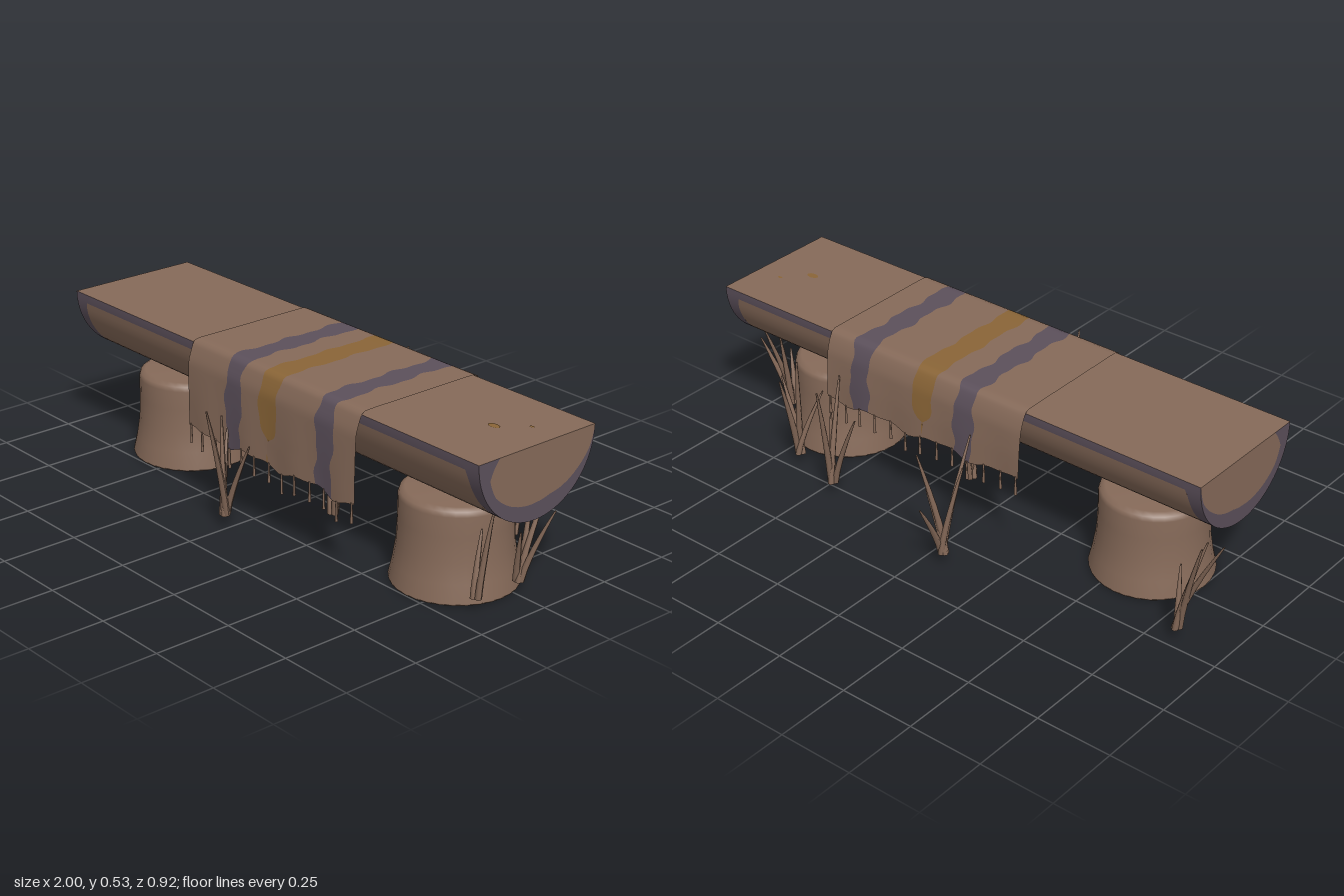
import * as THREE from 'three';

const X0 = -0.87, X1 = 1.0, TOP = 0.52, ZC = 0.053, R = 0.2275;

export function createModel() {
  const group = new THREE.Group();
  group.name = 'logBench';
  const mat = (name, color) => {
    const m = new THREE.MeshStandardMaterial({ color, side: THREE.DoubleSide });
    m.name = name;
    return m;
  };
  const wood = mat('brown', 0x866a59);
  const purple = mat('dusky purple', 0x5c505b);
  const ochre = mat('ochre', 0x8a6537);

  const add = (name, geo, material, parent = group) => {
    const mesh = new THREE.Mesh(geo, material);
    mesh.name = name;
    parent.add(mesh);
    return mesh;
  };
  const part = (name) => {
    const g = new THREE.Group();
    g.name = name;
    group.add(g);
    return g;
  };

  // Grid surface: fn(u, v) gives [x, y, z] for u, v in 0..1
  const surface = (nu, nv, fn) => {
    const pos = [], idx = [];
    for (let i = 0; i <= nu; i++) for (let j = 0; j <= nv; j++) pos.push(...fn(i / nu, j / nv));
    for (let i = 0; i < nu; i++) for (let j = 0; j < nv; j++) {
      const a = i * (nv + 1) + j, b = a + nv + 1;
      idx.push(a, b, a + 1, b, b + 1, a + 1);
    }
    const geo = new THREE.BufferGeometry();
    geo.setAttribute('position', new THREE.Float32BufferAttribute(pos, 3));
    geo.setIndex(idx);
    geo.computeVertexNormals();
    return geo;
  };
  const lerp = THREE.MathUtils.lerp;

  // Half log: rounded underside with worn purple borders
  const log = part('log');
  const arc = (x, t, r = R) => [x, TOP - r * Math.sin(t), ZC + r * Math.cos(t)];
  const rim = (t) => 0.022 + 0.022 * Math.abs(Math.cos(t)) + 0.04 * Math.exp(-Math.min(t, Math.PI - t) / 0.1);
  const EDGE = 0.13;
  const under = (name, m, t0, t1, xa, xb) => add(name, surface(32, 1, (u, v) => {
    const t = lerp(t0, t1, u);
    return arc(lerp(xa(t), xb(t), v), t);
  }), m, log);
  const inL = (t) => X0 + rim(t), inR = (t) => X1 - rim(t);
  under('logEndBandRight', purple, 0, Math.PI, () => X0, inL);
  under('logEndBandLeft', purple, 0, Math.PI, inR, () => X1);
  under('logFrontEdgeBand', purple, 0, EDGE, inL, inR);
  under('logBark', wood, EDGE, Math.PI - EDGE, inL, inR);
  under('logBackEdgeBand', purple, Math.PI - EDGE, Math.PI, inL, inR);
  add('logSeat', surface(1, 1, (u, v) => [lerp(X0, X1, v), TOP, ZC + lerp(-R, R, u)]), wood, log);

  // Log ends: uneven purple crescent around the cut wood
  const inner = [0.147, 0.192, 0.197, 0.189, 0.181, 0.175, 0.173, 0.186, 0.2, 0.218, R];
  const innerRadius = (t) => {
    const f = (t / Math.PI) * 10, i = Math.min(9, Math.floor(f));
    return lerp(inner[i], inner[i + 1], f - i);
  };
  for (const x of [X0, X1]) {
    const angle = (u) => Math.PI * (x > 0 ? u : 1 - u);
    add('logEndRim', surface(40, 1, (u, v) => arc(x, angle(u), lerp(R, innerRadius(angle(u)), v))), purple, log);
    add('logEndFace', surface(40, 1, (u, v) => arc(x, angle(u), innerRadius(angle(u)) * (1 - v))), wood, log);
  }

  // Small ochre flecks on the seat
  for (const [x, z, r] of [[0.83, 0.055, 0.022], [0.905, -0.02, 0.009]]) {
    const fleck = add('seatFleck', new THREE.CircleGeometry(r, 8), ochre, log);
    fleck.rotation.x = -Math.PI / 2;
    fleck.scale.y = 0.6;
    fleck.position.set(x, TOP + 0.002, z);
  }

  // Stump legs
  const stump = [[0, 0], [0.194, 0], [0.196, 0.006], [0.184, 0.06], [0.174, 0.125], [0.171, 0.2],
    [0.171, 0.265], [0.166, 0.28], [0.15, 0.289], [0, 0.292]].map((p) => new THREE.Vector2(...p));
  for (const [name, x] of [['rightStump', -0.56], ['leftStump', 0.687]]) {
    add(name, new THREE.LatheGeometry(stump, 32), wood).position.set(x, 0, ZC);
  }

  // Draped cloth: one profile from back hem to front hem, split into stripes
  const cloth = part('cloth');
  const profile = new THREE.CatmullRomCurve3([
    [0.30, -0.208], [0.38, -0.206], [0.46, -0.2], [0.5, -0.188], [0.525, -0.174], [0.53, -0.15], [0.53, 0.05],
    [0.53, 0.25], [0.525, 0.279], [0.5, 0.291], [0.46, 0.303], [0.36, 0.307], [0.245, 0.309],
  ].map(([y, z]) => new THREE.Vector3(0, y, z)), false, 'catmullrom', 0.3);
  const rows = 72, line = profile.getSpacedPoints(rows);
  const hem = (x) => 0.009 * Math.sin(x * 24) + 0.005 * Math.sin(x * 51 + 1);
  const clothPoint = (u, x) => {
    const p = line[Math.round(u * rows)];
    const hang = THREE.MathUtils.clamp((0.46 - p.y) / 0.18, 0, 1);
    return [x, p.y + hem(x) * hang, p.z + 0.004 * hang * Math.sin(x * 30)];
  };
  const ragged = (x, k, amp = 0.006) => (u) => x + amp * Math.sin(u * 34 + k) + amp * 0.6 * Math.sin(u * 71 + 2 * k);
  // Ochre stripe tapers to rounded ends above both hems
  const half = (u) => 0.041 * Math.sqrt(Math.max(0, 1 - Math.pow(Math.abs(u - 0.49) / 0.43, 10)));
  const wob = ragged(0, 2, 0.004);
  const edges = [() => -0.245, ragged(-0.062, 1), ragged(0.012, 4), (u) => 0.137 - half(u) + wob(u),
    (u) => 0.137 + half(u) + wob(u + 0.04), ragged(0.356, 3), ragged(0.43, 5), () => 0.53];
  const stripes = [wood, purple, wood, ochre, wood, purple, wood];
  stripes.forEach((m, i) => add(m === wood ? 'clothPanel' : 'clothStripe', surface(rows, 8,
    (u, v) => clothPoint(u, lerp(edges[i](u), edges[i + 1](u), v))), m, cloth));

  // Fringe along both hems
  for (let i = 0; i < 13; i++) {
    const x = -0.235 + i * 0.0629;
    for (const u of [0, 1]) {
      const [, y, z] = clothPoint(u, x);
      add('fringe', new THREE.CylinderGeometry(0.003, 0.005, 0.065, 5), wood, cloth).position.set(x, y - 0.028, z);
    }
  }

  // Reeds: base x, z, then tips as [x, y, z]
  const clumps = [
    [-0.84, -0.215, [[-1.0, 0.41, -0.24], [-0.95, 0.4, -0.275], [-0.92, 0.37, -0.2], [-0.82, 0.24, -0.18]]],
    [-0.07, -0.355, [[-0.07, 0.25, -0.458], [-0.02, 0.4, -0.41], [-0.13, 0.36, -0.33], [-0.08, 0.41, -0.235], [-0.02, 0.26, -0.37]]],
    [-0.01, 0.355, [[0.04, 0.425, 0.458], [-0.06, 0.31, 0.3], [0.1, 0.3, 0.345], [-0.03, 0.36, 0.347]]],
    [0.13, 0.02, [[0.09, 0.28, 0.03], [0.17, 0.25, 0.06], [0.12, 0.29, -0.04]]],
    [0.20, 0.1, [[0.25, 0.28, 0.13], [0.16, 0.27, 0.08], [0.22, 0.24, 0.05]]],
    [0.455, -0.28, [[0.44, 0.41, -0.35], [0.34, 0.32, -0.29], [0.47, 0.4, -0.215], [0.48, 0.28, -0.25]]],
    [0.655, -0.22, [[0.65, 0.35, -0.3], [0.73, 0.3, -0.21], [0.6, 0.27, -0.16], [0.62, 0.41, -0.25]]],
    [0.89, 0.165, [[0.94, 0.33, 0.155], [0.87, 0.24, 0.13], [0.9, 0.29, 0.118]]],
    [0.89, -0.005, [[0.98, 0.28, -0.05], [0.93, 0.22, 0.035], [0.88, 0.32, -0.06], [0.92, 0.35, -0.09]]],
  ];
  clumps.forEach(([bx, bz, tips]) => {
    const clump = part('reedClump');
    tips.forEach(([tx, ty, tz], k) => {
      const a = k * 2.4, ox = 0.008 * Math.cos(a), oz = 0.008 * Math.sin(a);
      add('reed', surface(6, 6, (u, v) => {
        const w = Math.pow(u, 1.25), r = lerp(0.011, 0.003, u * u), t = -v * Math.PI * 2;
        return [lerp(bx + ox, tx, w) + r * Math.cos(t), lerp(0.042, ty, u), lerp(bz + oz, tz, w) + r * Math.sin(t)];
      }), wood, clump);
    });
  });

  return group;
}
